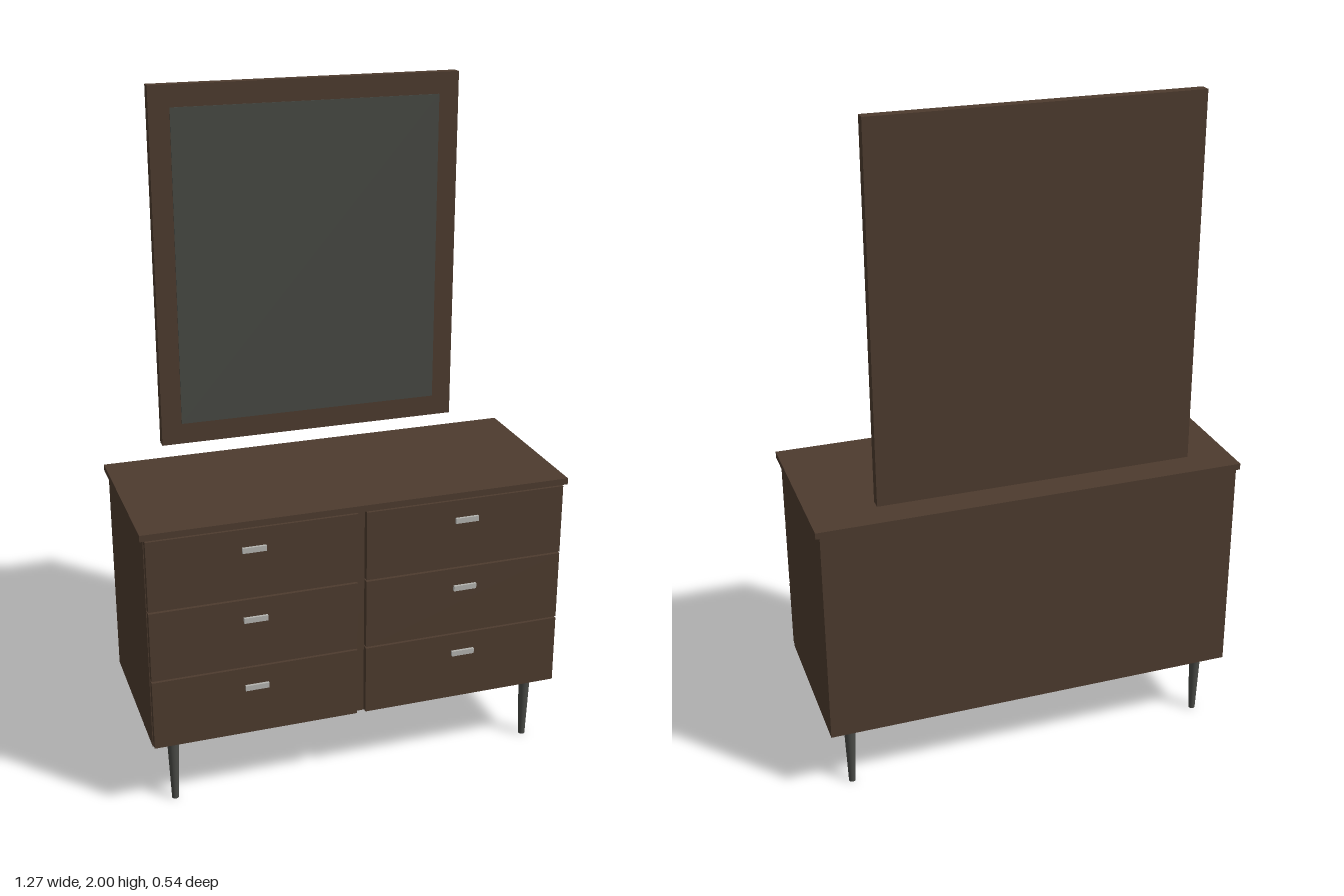
import * as THREE from 'three';

const mat = (name, color) => {
  const m = new THREE.MeshStandardMaterial({ color });
  m.name = name;
  return m;
};

export function createModel() {
  const wood = mat('dark walnut', 0x4d3b2e);
  const glass = mat('mirror glass', 0x464842);
  const metal = mat('dark metal', 0x4a4b47);
  const silver = mat('silver', 0xb4b4b0);
  const model = new THREE.Group();
  model.name = 'dresserWithMirror';

  // Box given by its minimum and maximum corners
  const box = (name, material, [x0, y0, z0], [x1, y1, z1], parent = model) => {
    const mesh = new THREE.Mesh(new THREE.BoxGeometry(x1 - x0, y1 - y0, z1 - z0), material);
    mesh.position.set((x0 + x1) / 2, (y0 + y1) / 2, (z0 + z1) / 2);
    mesh.name = name;
    parent.add(mesh);
  };

  // Cabinet and overhanging top
  box('cabinet', wood, [-0.625, 0.21, -0.268], [0.625, 0.866, 0.24]);
  box('topPanel', wood, [-0.637, 0.866, -0.27], [0.637, 0.885, 0.26]);

  // Two columns of three drawers, each with a bar pull
  for (const side of [-1, 1]) {
    for (let row = 0; row < 3; row++) {
      const drawer = new THREE.Group();
      drawer.name = 'drawer';
      const y = 0.321 + row * 0.2175, cx = side * 0.318;
      box('drawerFront', wood, [cx - 0.305, y - 0.106, 0.24], [cx + 0.305, y + 0.106, 0.26], drawer);
      box('handle', silver, [cx - 0.035, y + 0.036, 0.26], [cx + 0.035, y + 0.052, 0.268], drawer);
      model.add(drawer);
    }
  }

  // Tapered round legs
  const legGeometry = new THREE.CylinderGeometry(0.018, 0.01, 0.21, 16);
  for (const x of [-0.558, 0.558]) {
    for (const z of [-0.21, 0.2]) {
      const leg = new THREE.Mesh(legGeometry, metal);
      leg.name = 'leg';
      leg.position.set(x, 0.105, z);
      model.add(leg);
    }
  }

  // Mirror hanging above the top, with its glass plate
  box('mirrorFrame', wood, [-0.463, 0.936, -0.27], [0.463, 2, -0.238]);
  box('mirrorGlass', glass, [-0.402, 1.0, -0.24], [0.402, 1.937, -0.235]);

  return model;
}
